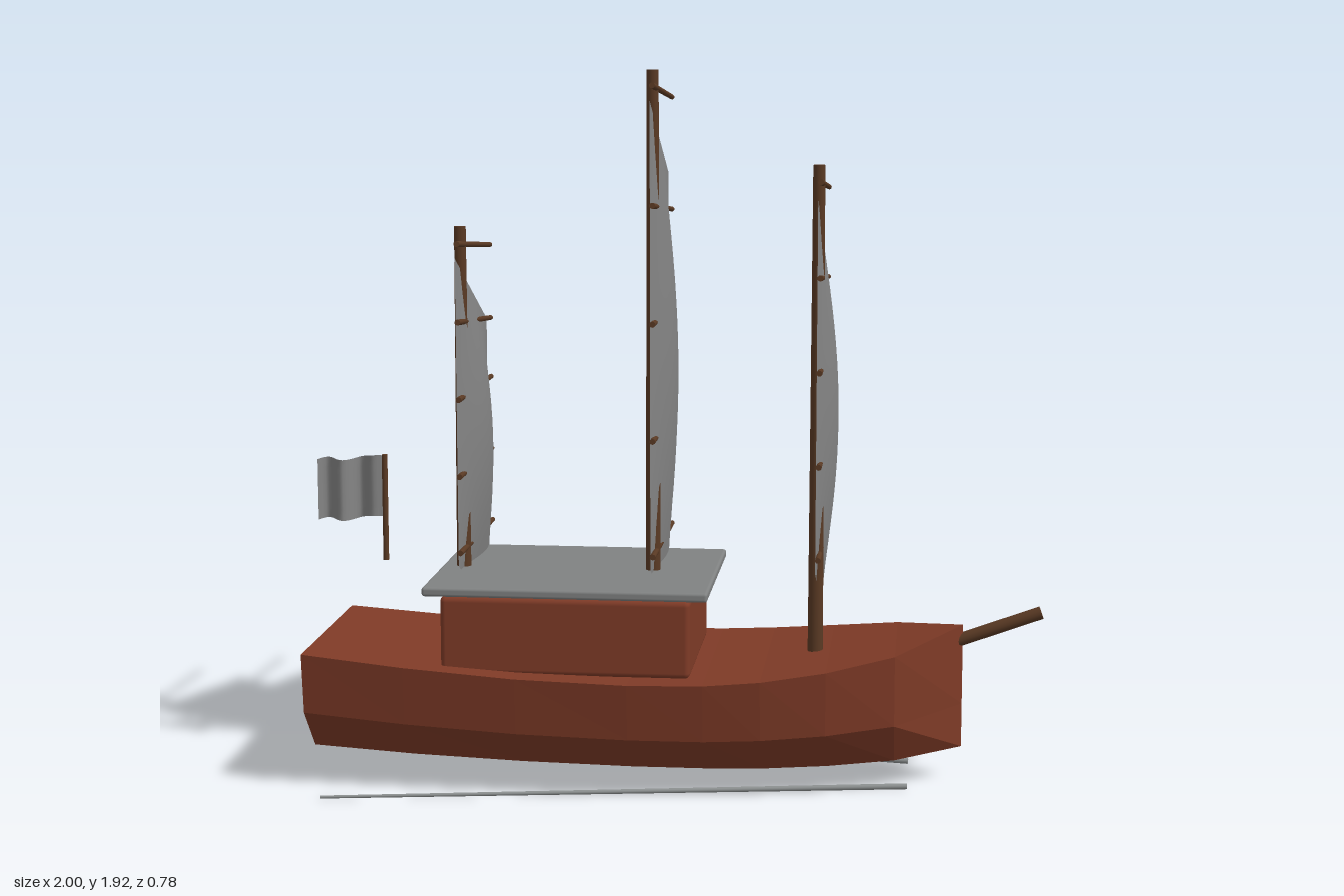
import * as THREE from 'three';
import { RoundedBoxGeometry } from 'three/addons/geometries/RoundedBoxGeometry.js';

const mat = (name, color, extra = {}) => {
  const m = new THREE.MeshStandardMaterial({ color, ...extra });
  m.name = name;
  return m;
};

export function createModel() {
  const group = new THREE.Group();
  const hullPaint = mat('red brown hull', 0x7f3b27, { flatShading: true });
  const cabinPaint = mat('red brown cabin', 0x7f3b27);
  const darkWood = mat('dark wood', 0x5a3a24);
  const canvas = mat('grey canvas', 0x858585, { side: THREE.DoubleSide });
  const roofGrey = mat('grey roof', 0x808282);
  const oarGrey = mat('pale grey', 0x8c9090);

  const add = (name, geometry, material, parent = group) => {
    const mesh = new THREE.Mesh(geometry, material);
    mesh.name = name;
    parent.add(mesh);
    return mesh;
  };

  // Round pole from point a to point b
  const pole = (name, a, b, ra, rb, material, parent = group) => {
    const start = new THREE.Vector3(...a), end = new THREE.Vector3(...b);
    const dir = end.clone().sub(start);
    const mesh = add(name, new THREE.CylinderGeometry(rb, ra, dir.length(), 12), material, parent);
    mesh.position.copy(start).add(end).multiplyScalar(0.5);
    mesh.quaternion.setFromUnitVectors(new THREE.Vector3(0, 1, 0), dir.normalize());
    return mesh;
  };

  // Hull stations: x, half width at the deck, deck y, chine y, keel y
  const stations = [
    [-0.98, 0.300, 0.375, 0.210, 0.090],
    [-0.70, 0.318, 0.350, 0.190, 0.075],
    [-0.40, 0.330, 0.330, 0.175, 0.065],
    [-0.10, 0.335, 0.322, 0.168, 0.060],
    [0.10, 0.332, 0.325, 0.168, 0.060],
    [0.25, 0.318, 0.335, 0.172, 0.062],
    [0.42, 0.280, 0.355, 0.180, 0.068],
    [0.60, 0.205, 0.385, 0.192, 0.077],
    [0.78, 0.000, 0.430, 0.210, 0.090],
  ];
  const zc = 0.005;
  const rings = stations.map(([x, w, top, chine, keel]) => {
    const side = [[top, w], [chine, w * 0.93], [keel, w * 0.55]];
    return [
      ...side.map(([y, z]) => [x, y, zc + z]),
      ...side.reverse().map(([y, z]) => [x, y, zc - z]),
    ];
  });
  const verts = [];
  const tri = (a, b, c) => verts.push(...a, ...b, ...c);
  for (let s = 0; s < rings.length - 1; s++) {
    const a = rings[s], b = rings[s + 1];
    for (let i = 0; i < 6; i++) {
      const j = (i + 1) % 6;
      tri(a[i], a[j], b[j]);
      tri(a[i], b[j], b[i]);
    }
  }
  for (let k = 1; k < 5; k++) tri(rings[0][0], rings[0][k + 1], rings[0][k]); // transom
  const hull = new THREE.BufferGeometry();
  hull.setAttribute('position', new THREE.Float32BufferAttribute(verts, 3));
  hull.computeVertexNormals();
  add('hull', hull, hullPaint);

  // Cabin and its overhanging roof
  add('cabin', new RoundedBoxGeometry(0.67, 0.21, 0.5, 2, 0.015), cabinPaint)
    .position.set(-0.275, 0.427, 0.012);
  add('cabinRoof', new RoundedBoxGeometry(0.76, 0.025, 0.6, 2, 0.008), roofGrey)
    .position.set(-0.27, 0.553, 0.005);

  // Bulging sail with a slanted head and foot
  const sailGeometry = (height) => {
    const g = new THREE.PlaneGeometry(1, 1, 12, 20);
    const p = g.attributes.position;
    for (let i = 0; i < p.count; i++) {
      const u = p.getX(i) + 0.5, v = p.getY(i) + 0.5;
      p.setXYZ(i,
        0.002 + 0.05 * Math.sin(Math.PI * u) * Math.sin(Math.PI * v),
        0.58 + height * v - 0.21 * u,
        0.097 - 0.465 * u);
    }
    g.computeVertexNormals();
    return g;
  };

  // Masts, each with a sail and five battens, the upper two sloping down
  const rigs = [['mizzen', -0.59, 1.5], ['main', -0.065, 1.92], ['fore', 0.38, 1.67]];
  for (const [name, x, top] of rigs) {
    const rig = new THREE.Group();
    rig.name = name + 'Rig';
    rig.position.x = x;
    group.add(rig);
    pole(name + 'Mast', [0, 0.32, 0.008], [0, top, 0.008], 0.021, 0.016, darkWood, rig);
    const height = top - 0.66;
    add(name + 'Sail', sailGeometry(height), canvas, rig);
    for (let i = 0; i < 5; i++) {
      const y = 0.62 + height * i / 4;
      const drop = i > 2 ? 0.04 : 0;
      pole(name + 'Batten', [0.01, y, 0.113], [0.01, y - drop, -0.388], 0.008, 0.007, darkWood, rig);
    }
  }

  // Bowsprit
  pole('bowsprit', [0.74, 0.375, 0], [0.99, 0.467, 0], 0.018, 0.018, darkWood);

  // Flag on its staff at the stern
  pole('flagStaff', [-0.81, 0.575, 0], [-0.81, 0.87, 0], 0.008, 0.008, darkWood);
  const flag = new THREE.PlaneGeometry(0.19, 0.17, 20, 6);
  const fp = flag.attributes.position;
  for (let i = 0; i < fp.count; i++) {
    const t = 0.5 - fp.getX(i) / 0.19;
    fp.setZ(i, 0.02 * Math.sin(t * Math.PI * 4) * Math.min(1, t * 3));
    fp.setY(i, fp.getY(i) - 0.015 * t + 0.004 * Math.sin(t * 9));
  }
  flag.computeVertexNormals();
  add('flag', flag, canvas).position.set(-0.905, 0.782, 0);

  // Long oars lying low on both sides
  for (const s of [1, -1]) {
    pole('oar', [-0.915, 0.008, 0.007 + s * 0.377], [0.635, 0.009, 0.007 + s * 0.121],
      0.004, 0.008, oarGrey);
  }
  return group;
}
